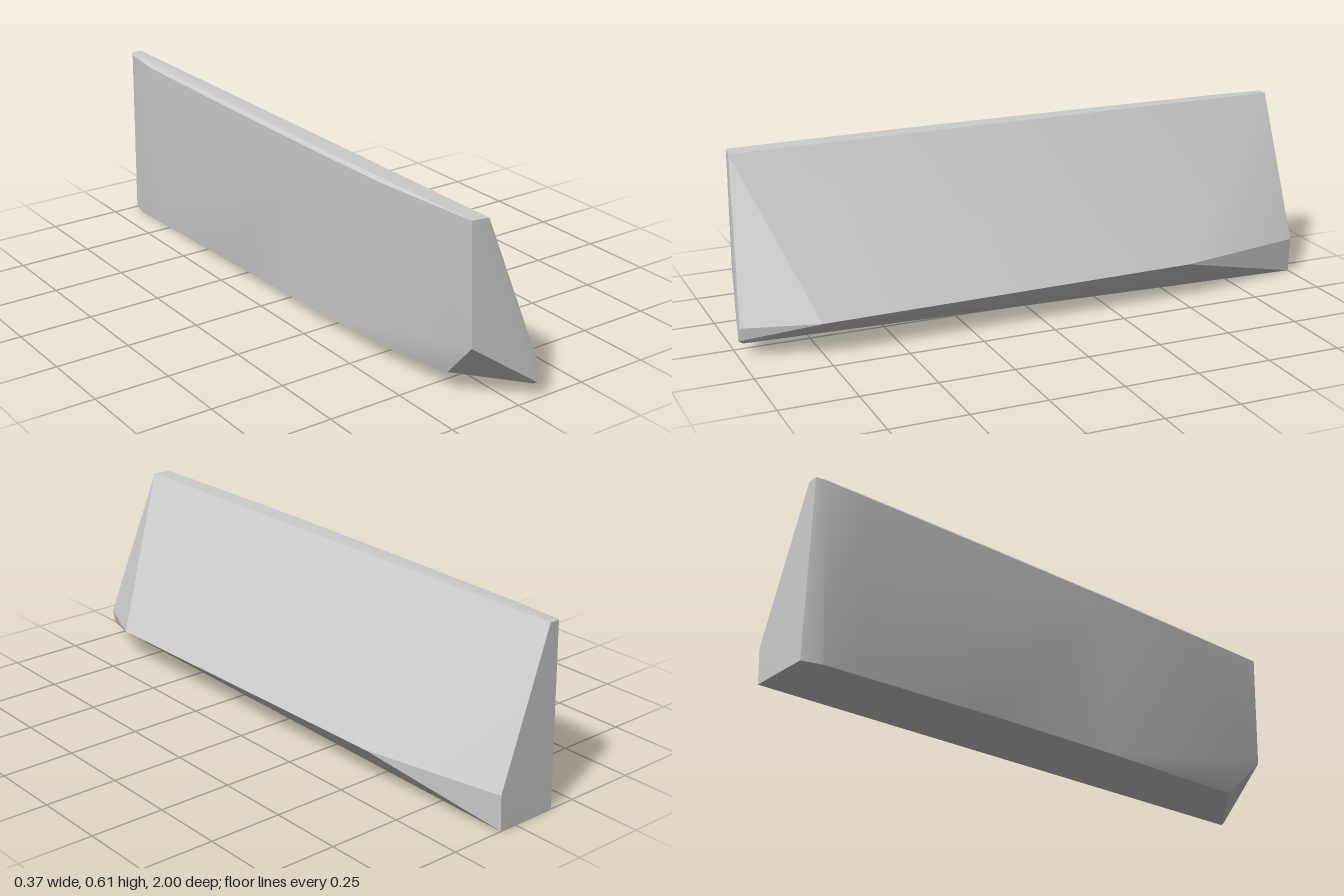
import * as THREE from 'three';
import { ConvexGeometry } from 'three/addons/geometries/ConvexGeometry.js';
import { toCreasedNormals } from 'three/addons/utils/BufferGeometryUtils.js';

export function createModel() {
  const group = new THREE.Group();
  group.name = 'wedgeBlock';
  const grey = new THREE.MeshStandardMaterial({ color: 0xcccccc });
  grey.name = 'light grey';

  const corners = [
    // top strip, rounded at its back left corner
    [-0.163, 0.61, 0.95], [-0.105, 0.608, 0.957],
    [-0.12, 0.612, -0.985], [-0.155, 0.612, -0.985], [-0.166, 0.608, -0.96],
    // ridge on the left side of the slope
    [0.182, 0.115, 0.76], [0.18, 0.127, -0.53],
    // front end and its undercut
    [0.08, 0.1, 0.995], [0.07, 0.055, 1], [0.068, 0.045, 0.985],
    [-0.15, 0.21, 0.955], [-0.125, 0.07, 0.82],
    // back end
    [0.068, 0.12, -1], [0.062, 0, -1], [-0.155, 0, -1], [-0.17, 0.003, -0.93],
  ];
  // gently bowed tall side: upper and lower edge at a few stations
  for (const [z, top, bottom] of [
    [-0.8, -0.178, -0.172], [-0.3, -0.183, -0.172], [0.2, -0.185, -0.168], [0.55, -0.181, -0.155],
  ]) {
    corners.push([top, 0.6, z], [top + 0.01, 0.611, z]);
    corners.push([bottom, 0.012 + 0.038 * (z + 0.8) / 1.35, z]);
  }

  const hull = new ConvexGeometry(corners.map(p => new THREE.Vector3(...p)));
  const body = new THREE.Mesh(toCreasedNormals(hull, 0.4), grey);
  body.name = 'body';
  group.add(body);
  return group;
}
